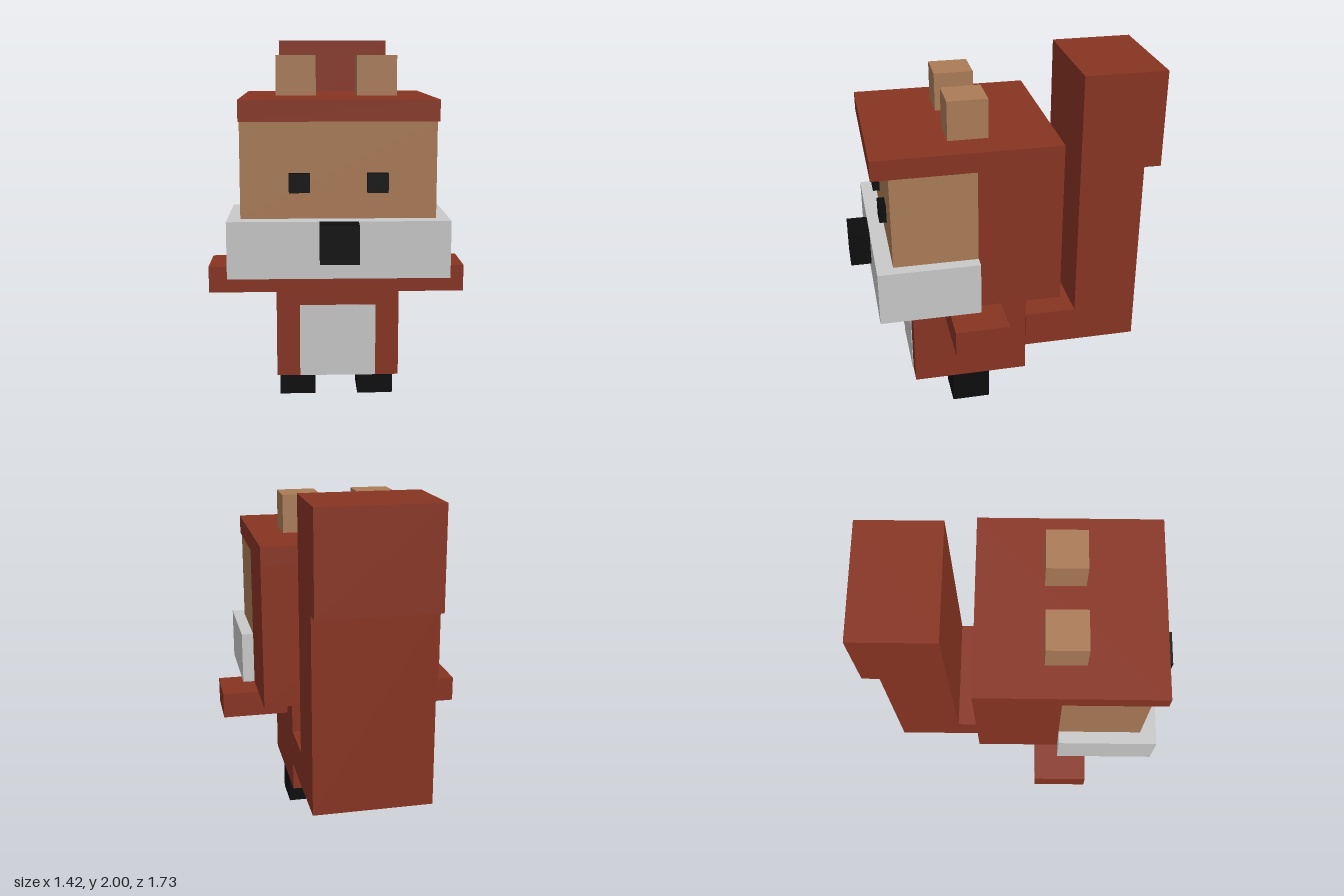
import * as THREE from 'three';

const material = (name, color) => {
  const m = new THREE.MeshStandardMaterial({ color });
  m.name = name;
  return m;
};

export function createModel() {
  const fur = material('russetFur', 0x883422);
  const tan = material('tanFur', 0xab7b57);
  const pale = material('paleFur', 0xc9c9c9);
  const black = material('black', 0x0d0d0d);

  const model = new THREE.Group();
  model.name = 'blockAnimal';

  // Box given by its limits along each axis
  const block = (name, mat, [x0, x1], [y0, y1], [z0, z1], parent = model) => {
    const mesh = new THREE.Mesh(new THREE.BoxGeometry(x1 - x0, y1 - y0, z1 - z0), mat);
    mesh.position.set((x0 + x1) / 2, (y0 + y1) / 2, (z0 + z1) / 2);
    mesh.name = name;
    parent.add(mesh);
  };
  // Left block plus its mirror image on the right
  const pair = (name, mat, [x0, x1], y, z, parent) => {
    block(name + 'Left', mat, [x0, x1], y, z, parent);
    block(name + 'Right', mat, [-x1, -x0], y, z, parent);
  };
  const group = (name) => {
    const g = new THREE.Group();
    g.name = name;
    model.add(g);
    return g;
  };

  // Body, belly patch and limbs
  const trunk = [-0.33, 0.33];
  block('body', fur, trunk, [0.19, 0.78], [-0.11, 0.55]);
  block('bellyPatch', pale, [-0.205, 0.205], [0.19, 0.585], [0.549, 0.554]);
  pair('arm', fur, [0.33, 0.712], [0.61, 0.757], [0.07, 0.365]);
  pair('foot', black, [0.12, 0.32], [0, 0.19], [0.11, 0.33]);

  // Head: rear block, overhanging cap, face and muzzle
  const head = group('head');
  const skull = [-0.51, 0.51];
  block('headBack', fur, skull, [0.78, 1.59], [-0.26, 0.2], head);
  block('headCap', fur, skull, [1.59, 1.7], [-0.26, 0.75], head);
  block('face', tan, skull, [1.08, 1.59], [0.2, 0.66], head);
  block('muzzle', pale, [-0.578, 0.578], [0.78, 1.08], [0.2, 0.75], head);
  block('nose', black, [-0.1, 0.1], [0.88, 1.08], [0.75, 0.866], head);
  pair('eye', black, [0.148, 0.257], [1.22, 1.32], [0.66, 0.70], head);
  pair('ear', tan, [0.112, 0.33], [1.7, 1.917], [0.108, 0.327], head);

  // Upright tail with a thicker tip
  const tail = group('tail');
  block('tailRoot', fur, trunk, [0.35, 0.56], [-0.405, -0.112], tail);
  block('tailStem', fur, trunk, [0.35, 1.45], [-0.77, -0.405], tail);
  block('tailTip', fur, trunk, [1.45, 2], [-0.866, -0.405], tail);

  return model;
}
